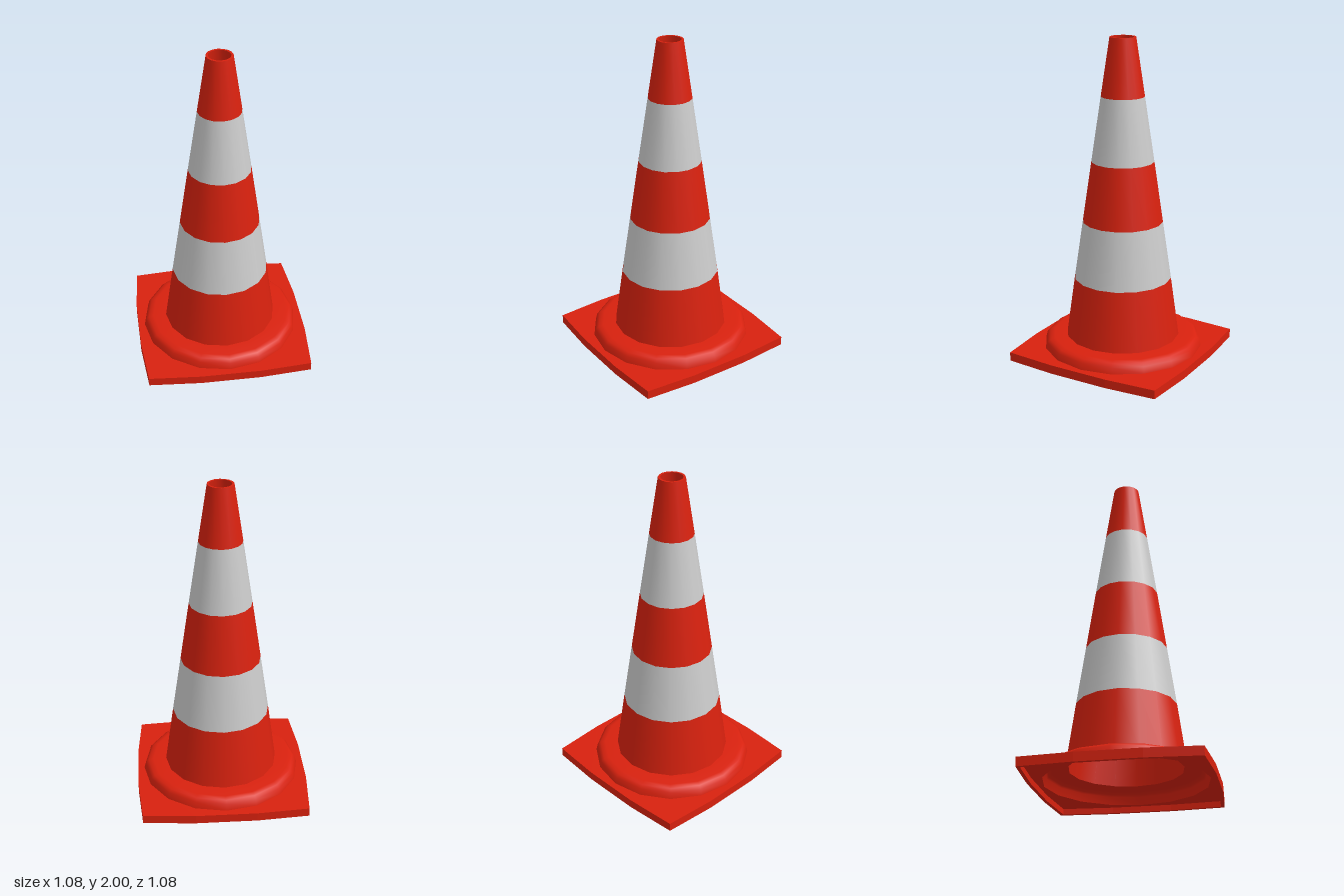
import * as THREE from 'three';

const SIDES = 16;
const red = new THREE.MeshStandardMaterial({ color: 0xd8210e });
const grey = new THREE.MeshStandardMaterial({ color: 0xcccccc });

export function createModel() {
  const group = new THREE.Group();

  const add = (name, geometry, material = red) => {
    const mesh = new THREE.Mesh(geometry, material);
    mesh.name = name;
    group.add(mesh);
  };
  // Profiles run upwards for outer faces and downwards for inner faces
  const lathe = (name, profile, material) =>
    add(name, new THREE.LatheGeometry(profile.map(([r, y]) => new THREE.Vector2(r, y)), SIDES), material);

  // Square outline with slightly bulging sides
  const outline = (s = 1) => {
    const points = [];
    for (let i = 0; i < 4; i++) {
      for (const [x, y] of [[0.54, -0.19], [0.54, 0.19], [0.515, 0.515]]) {
        points.push(new THREE.Vector2(x * s, y * s).rotateAround(new THREE.Vector2(), i * Math.PI / 2));
      }
    }
    return points;
  };
  const circle = (r) => Array.from({ length: SIDES }, (_, i) => {
    const a = i / SIDES * Math.PI * 2;
    return new THREE.Vector2(r * Math.cos(a), r * Math.sin(a));
  });
  const slab = (name, hole, y0, y1) => {
    const shape = new THREE.Shape(outline());
    shape.holes.push(new THREE.Path(hole));
    const geometry = new THREE.ExtrudeGeometry(shape, { depth: y1 - y0, bevelEnabled: false });
    add(name, geometry.rotateX(-Math.PI / 2).translate(0, y0, 0));
  };

  // Base: a rim standing on the ground and the plate above it
  slab('baseRim', outline(0.96), 0, 0.035);
  slab('basePlate', circle(0.49), 0.035, 0.055);

  // Rounded collar, hollow underneath
  lathe('collar', [[0.5, 0.055], [0.49, 0.095], [0.47, 0.113], [0.44, 0.122], [0.355, 0.125]]);
  lathe('collarUnderside', [[0.34, 0.11], [0.44, 0.106], [0.465, 0.092], [0.475, 0.08], [0.49, 0.035]]);

  // Cone in alternating bands
  const rings = [[0.357, 0.122], [0.304, 0.5], [0.25, 0.865], [0.194, 1.245], [0.134, 1.645], [0.08, 2]];
  for (let i = 0; i < rings.length - 1; i++) {
    lathe(`coneBand${i + 1}`, [rings[i], rings[i + 1]], i % 2 ? grey : red);
  }

  // Top lip and inside of the cone
  lathe('topLip', [[0.08, 2], [0.067, 2]]);
  lathe('coneInside', [[0.067, 2], [0.34, 0.11]]);

  return group;
}
